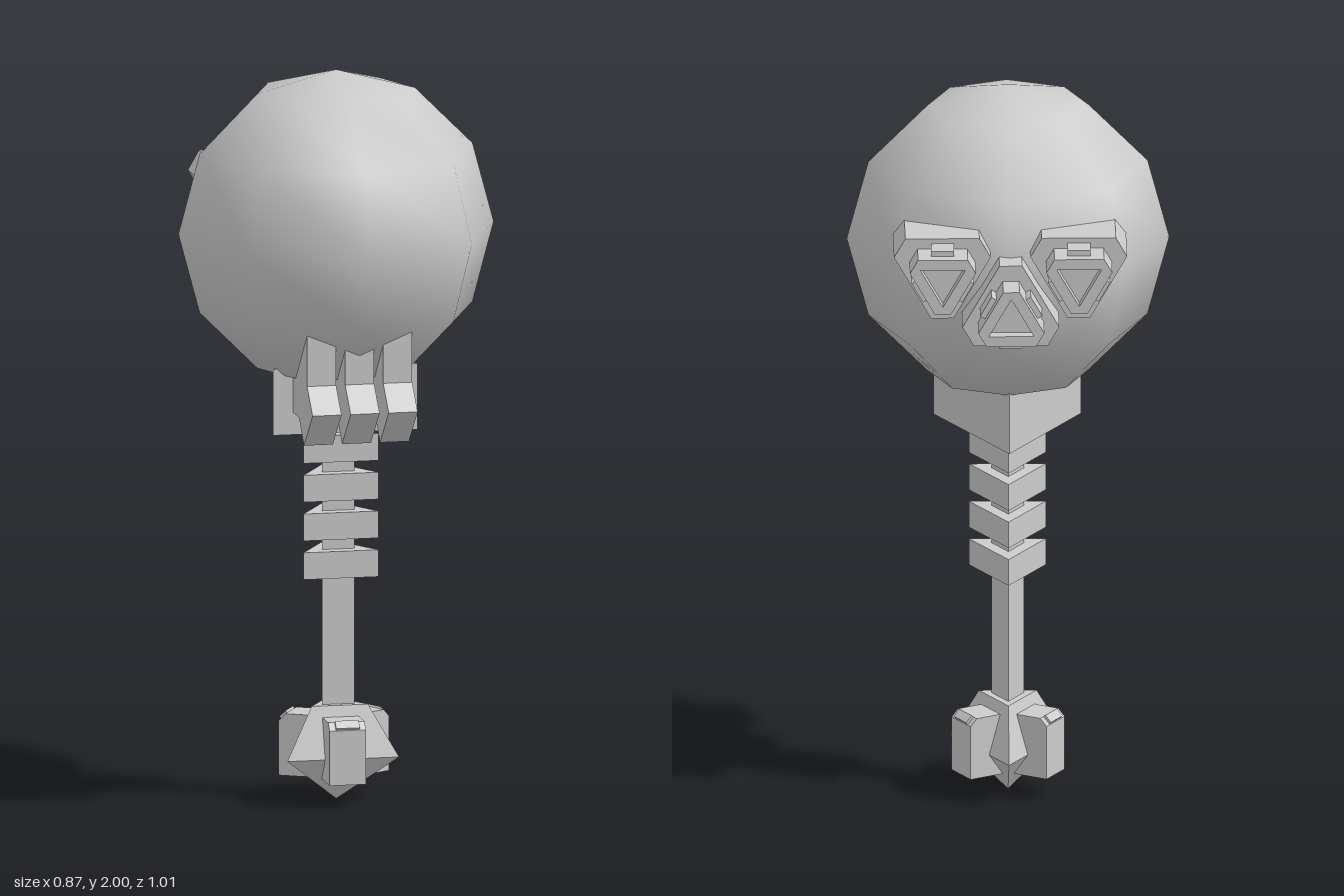
import * as THREE from 'three';

const flat = new THREE.MeshStandardMaterial({ color: 0xcccccc, flatShading: true });
const smooth = new THREE.MeshStandardMaterial({ color: 0xcccccc });
const AXIS_Z = 0.073; // z of the vertical axis

function add(parent, name, geometry, material = flat) {
  const mesh = new THREE.Mesh(geometry, material);
  mesh.name = name;
  parent.add(mesh);
  return mesh;
}

// Upright triangular prism with its edge towards the back
function triPrism(parent, name, radius, y0, y1) {
  const g = new THREE.CylinderGeometry(radius, radius, y1 - y0, 3);
  g.rotateY(Math.PI);
  g.translate(0, (y0 + y1) / 2, AXIS_Z);
  return add(parent, name, g);
}

// Extrudes a (z, y) side profile across x, centred on x = 0
function sideProfile(points, width) {
  const shape = new THREE.Shape(points.map(([z, y]) => new THREE.Vector2(z, y)));
  const g = new THREE.ExtrudeGeometry(shape, { depth: width, bevelEnabled: false });
  g.translate(0, 0, -width / 2);
  g.rotateY(-Math.PI / 2);
  return g;
}

// Triangle with cut corners: long sides at distance a, short sides at distance b
function cutTriangle(a, b, up) {
  const half = (b - a / 2) / Math.sin(Math.PI / 3);
  const pts = [];
  for (let k = 0; k < 3; k++) {
    const t = up + (k * 2 * Math.PI) / 3;
    const c = Math.cos(t), s = Math.sin(t);
    for (const e of [-half, half]) pts.push(new THREE.Vector2(c * a - s * e, s * a + c * e));
  }
  return new THREE.Shape(pts);
}

function extrudeZ(shape, z0, z1) {
  const g = new THREE.ExtrudeGeometry(shape, { depth: z1 - z0, bevelEnabled: false });
  g.translate(0, 0, z0);
  return g;
}

// Rear pod: wide housing, narrower nozzle with triangular recess, tabs on the long sides
function rearPod(name, x, y, up, zInner, zHull) {
  const pod = new THREE.Group();
  pod.name = name;
  pod.position.set(x, y, 0);
  const a = 0.064, b = 0.09, zEnd = zHull - 0.097;
  add(pod, 'podHousing', extrudeZ(cutTriangle(0.093, 0.133, up), zHull, zInner));
  add(pod, 'podNozzle', extrudeZ(cutTriangle(a, b, up), zEnd + 0.035, zHull + 0.01));
  const rim = cutTriangle(a, b, up);
  const hole = [];
  for (let k = 0; k < 3; k++) {
    const t = up + Math.PI - (k * 2 * Math.PI) / 3;
    hole.push(new THREE.Vector2(Math.cos(t) * 0.07, Math.sin(t) * 0.07));
  }
  rim.holes.push(new THREE.Path(hole));
  add(pod, 'podRim', extrudeZ(rim, zEnd, zEnd + 0.035));
  for (let k = 0; k < 3; k++) {
    const t = up + (k * 2 * Math.PI) / 3;
    const g = new THREE.BoxGeometry(0.03, 0.062, 0.07);
    g.translate(a, 0, zHull - 0.03);
    g.rotateZ(t);
    add(pod, 'podTab', g);
  }
  return pod;
}

export function createModel() {
  const model = new THREE.Group();
  model.name = 'model';

  // Faceted ball with smooth shading
  const ball = new THREE.SphereGeometry(0.435, 8, 6);
  ball.translate(0, 1.568, 0.07);
  add(model, 'ball', ball, smooth);

  // Collar, rod and ring guards
  triPrism(model, 'collar', 0.23, 1.028, 1.21);
  triPrism(model, 'rod', 0.051, 0.2, 1.05);
  for (let i = 0; i < 4; i++) {
    const y = 0.617 + i * 0.1065;
    triPrism(model, 'guard', 0.12, y, y + 0.074);
  }

  // Three front claws
  const clawProfile = [
    [0.37, 1.34], [0.2, 1.4], [0.1, 1.2], [0.18, 1.09],
    [0.267, 1.09], [0.33, 1.025], [0.44, 1.127], [0.37, 1.195],
  ];
  for (const x of [-0.105, 0, 0.105]) {
    add(model, 'claw', sideProfile(clawProfile, 0.08)).position.x = x;
  }

  // Rear pods: two outer ones and an inverted lower one in the middle
  const up = Math.PI / 2;
  for (const s of [-1, 1]) {
    model.add(rearPod(s > 0 ? 'leftPod' : 'rightPod', s * 0.184, 1.617, up, -0.16, -0.364));
  }
  model.add(rearPod('middlePod', 0, 1.514, -up, -0.25, -0.412));

  // Pommel: three-sided spike tapering to a point
  const pommelProfile = [[0, 0], [0.178, 0.125], [0.09, 0.265], [0, 0.265]];
  const pommel = new THREE.LatheGeometry(
    pommelProfile.map(([r, y]) => new THREE.Vector2(r, y)), 3, Math.PI);
  pommel.translate(0, 0, AXIS_Z);
  add(model, 'pommel', pommel);

  // Blocks on the pommel faces, each with a small tab on its bevel
  const blockProfile = [[0.03, 0.065], [0.147, 0.065], [0.147, 0.215], [0.128, 0.235], [0.03, 0.235]];
  for (let k = 0; k < 3; k++) {
    const block = new THREE.Group();
    block.name = 'pommelBlock';
    block.position.z = AXIS_Z;
    block.rotation.y = (k * 2 * Math.PI) / 3;
    add(block, 'blockBody', sideProfile(blockProfile, 0.1));
    const tab = add(block, 'blockTab', new THREE.BoxGeometry(0.065, 0.02, 0.025));
    tab.position.set(0, 0.224, 0.135);
    tab.rotation.x = Math.PI / 4;
    model.add(block);
  }
  return model;
}
